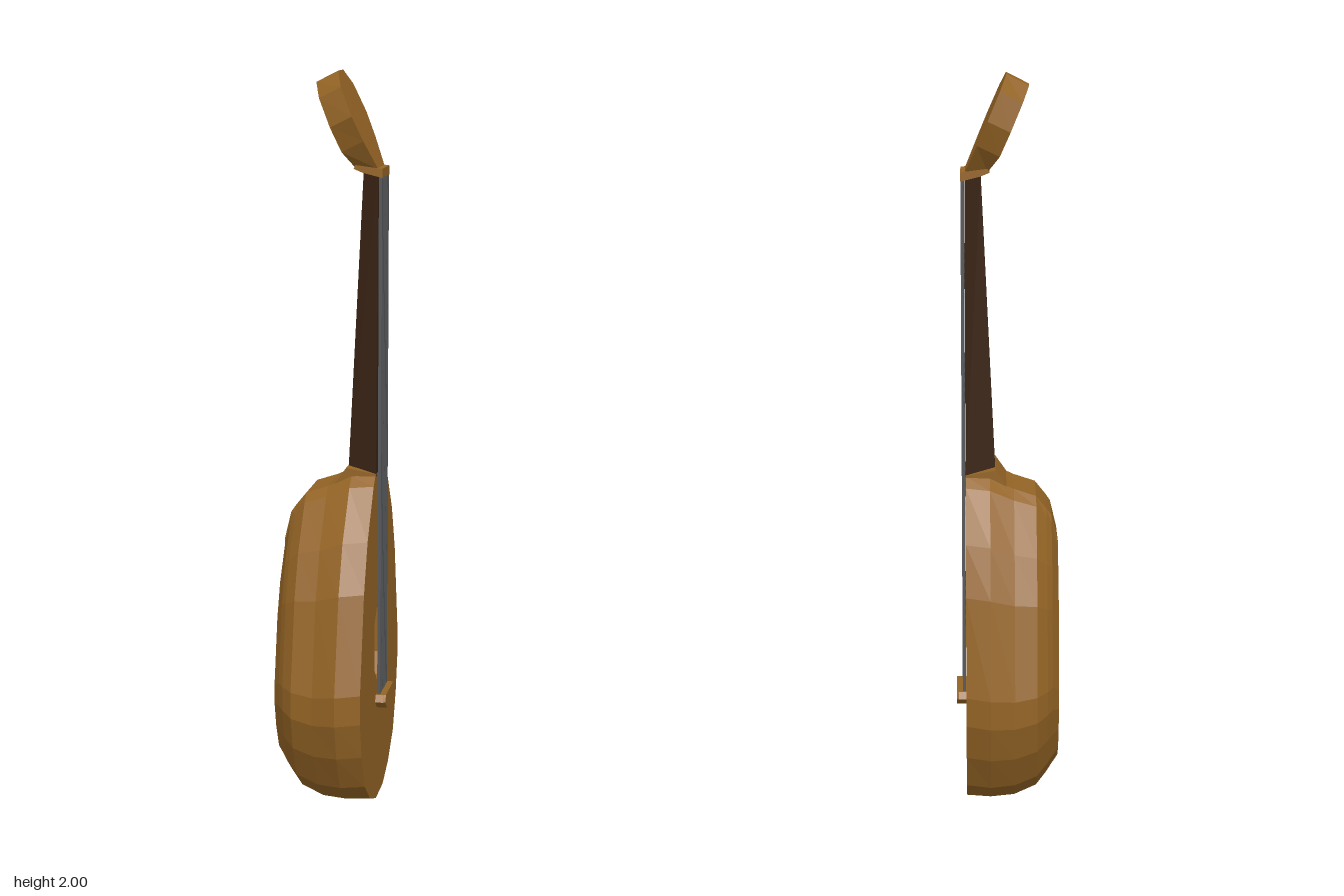
import * as THREE from 'three';

const mat = (color, side = THREE.FrontSide) => new THREE.MeshStandardMaterial({ color, flatShading: true, side });
const wood = mat(0x946425);
const woodInside = mat(0x946425, THREE.DoubleSide);
const darkWood = mat(0x3a2315);
const stringMat = mat(0x55575a);
const black = mat(0x121212, THREE.DoubleSide);

// Skin a list of matching rings (counterclockwise about the direction of travel)
function loft(rings, capStart = true, capEnd = true) {
  const n = rings[0].length, index = [];
  rings.slice(1).forEach((_, k) => {
    for (let i = 0; i < n; i++) {
      const a = k * n + i, b = k * n + (i + 1) % n;
      index.push(a, b, b + n, a, b + n, a + n);
    }
  });
  const last = (rings.length - 1) * n;
  for (let i = 1; i < n - 1; i++) {
    if (capStart) index.push(0, i + 1, i);
    if (capEnd) index.push(last, last + i, last + i + 1);
  }
  const geo = new THREE.BufferGeometry();
  geo.setAttribute('position', new THREE.Float32BufferAttribute(rings.flat(2), 3));
  geo.setIndex(index);
  const flat = geo.toNonIndexed();
  flat.computeVertexNormals();
  return flat;
}

// Close a half outline [halfWidth, y] (bottom to top) by mirroring it
const mirror = half => [...half, ...half.map(([u, y]) => [-u, y]).reverse()];
// Place a flat outline in the plane x = const, facing +x
const ringAt = (outline, x) => outline.map(([u, y]) => [x, y, -u]);
const toShape = outline => new THREE.Shape(outline.map(p => new THREE.Vector2(...p)));

// Side profile in x, y made into a solid of the given half width in z
function prism(profile, halfZ) {
  const geo = new THREE.ExtrudeGeometry(toShape(profile), { depth: 2 * halfZ, bevelEnabled: false });
  return geo.translate(0, 0, -halfZ);
}

function facePlate(shape, x) {
  return new THREE.ShapeGeometry(shape).rotateY(Math.PI / 2).translate(x, 0, 0);
}

export function createModel() {
  const group = new THREE.Group();
  const add = (name, geo, material) => {
    const mesh = new THREE.Mesh(geo, material);
    mesh.name = name;
    group.add(mesh);
    return mesh;
  };

  // Pear-shaped bowl: one outline resized through layers from back to front
  const pear = [[0.06, 0], [0.17, 0.035], [0.265, 0.1], [0.32, 0.2], [0.35, 0.3],
    [0.35, 0.38], [0.285, 0.64], [0.225, 0.77], [0.12, 0.9], [0.085, 0.925]];
  const layers = [ // x, width scale, bottom, top
    [-0.14, 0.66, 0.11, 0.74], [-0.122, 0.75, 0.085, 0.815], [-0.108, 0.81, 0.065, 0.835],
    [-0.08, 0.89, 0.03, 0.87], [-0.02, 0.93, 0.003, 0.89],
    [0.045, 1, 0, 0.92], [0.11, 0.93, 0, 0.925]];
  const sections = layers.map(([, w, low, high]) => mirror(pear.map(([u, y]) =>
    [Math.max(u * w, Math.min(u, 0.08)), low + (high - low) * y / 0.925])));
  add('bowl', loft(sections.map((s, i) => ringAt(s, layers[i][0])), true, false), wood);

  // Soundboard with a recessed sound hole
  const hole = mirror([[0.035, 0.33], [0.09, 0.38], [0.09, 0.51], [0.04, 0.56]]);
  const board = toShape(sections[sections.length - 1]);
  board.holes.push(new THREE.Path(hole.map(p => new THREE.Vector2(...p))));
  add('soundboard', facePlate(board, 0.11), wood);
  add('soundHoleWall', loft([ringAt(hole, 0.065), ringAt(hole, 0.11)], false, false), woodInside);
  add('soundHoleFloor', facePlate(toShape(hole), 0.067), black);

  // Heel joining bowl and neck
  add('heel', prism([[0, 0.87], [0.111, 0.87], [0.111, 0.928], [0.03, 0.943], [0, 0.9]], 0.084), wood);

  // Tapered neck
  const neckRing = (y, back, front, half) =>
    [[front, y, half], [front, y, -half], [back, y, -half * 0.6], [back, y, half * 0.6]];
  add('neck', loft([neckRing(0.92, 0.03, 0.111, 0.08), neckRing(1.735, 0.068, 0.111, 0.057)]), darkWood);

  // Nut
  add('nut', prism([[0.045, 1.745], [0.07, 1.735], [0.122, 1.722], [0.122, 1.746], [0.05, 1.755]], 0.06), wood);

  // Head, tilted backwards
  const head = mirror([[0.055, 1.745], [0.098, 1.82], [0.118, 1.885], [0.097, 1.96], [0.036, 2]]);
  const headX = y => 0.11 - (y - 1.745) * 0.43;
  const headFront = head.map(([u, y]) => [headX(y), y, -u]);
  const headBack = head.map(([u, y]) => [headX(y) - 0.06, Math.max(y - 0.03, 1.745), -u * 0.88]);
  add('head', loft([headBack, headFront]), wood);

  // Bridge
  const bridge = mirror([[0.045, 0.26], [0.08, 0.285], [0.065, 0.302]]);
  const bridgeTop = bridge.map(([u, y]) => [u * 0.95, y]);
  add('bridge', loft([ringAt(bridge, 0.109), ringAt(bridge, 0.132), ringAt(bridgeTop, 0.138)]), wood);

  // Strings
  const count = 6;
  for (let i = 0; i < count; i++) {
    const geo = new THREE.BoxGeometry(0.009, 1.44, 0.012);
    add('string', geo, stringMat).position.set(0.117, 1.01, -0.051 + 0.102 * i / (count - 1));
  }
  return group;
}
